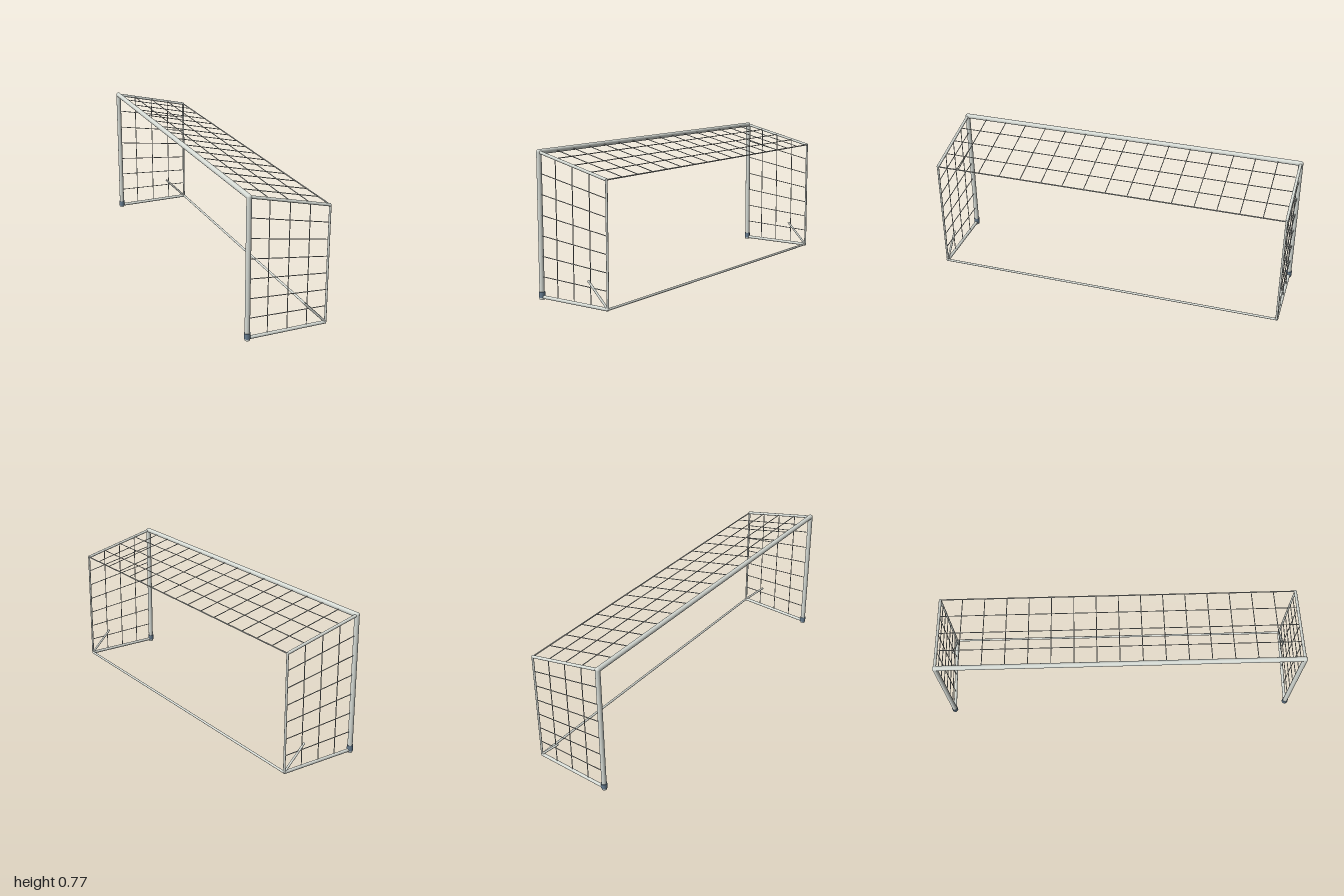
import * as THREE from 'three';

const paint = new THREE.MeshStandardMaterial({ color: 0xd6dbd5 });
paint.name = 'pale frame paint';
const cord = new THREE.MeshStandardMaterial({ color: 0xb9bdb9 });
cord.name = 'net cord grey';
const slate = new THREE.MeshStandardMaterial({ color: 0x667c90 });
slate.name = 'slate blue sleeve';

// Main dimensions
const FRONT = -0.215, REAR = 0.222, SIDE = 0.9835;
const FLOOR = 0.013, TOP_FRONT = 0.758, TOP_REAR = 0.652;
const POST_R = 0.0135, NET_R = 0.0024;
const SIDE_COLS = 4, SIDE_ROWS = 7, ROOF_BAYS = 16;

const lerp = THREE.MathUtils.lerp;
const xAt = (t) => lerp(FRONT, REAR, t);
const topAt = (t) => lerp(TOP_FRONT, TOP_REAR, t);

// Round bar between two points
function bar(parent, name, from, to, radius, material = paint, sides = 20) {
  const a = new THREE.Vector3(...from), b = new THREE.Vector3(...to);
  const dir = b.clone().sub(a);
  const mesh = new THREE.Mesh(new THREE.CylinderGeometry(radius, radius, dir.length(), sides), material);
  mesh.name = name;
  mesh.position.copy(a).add(b).multiplyScalar(0.5);
  mesh.quaternion.setFromUnitVectors(new THREE.Vector3(0, 1, 0), dir.normalize());
  parent.add(mesh);
}

// Rounded joint where bars meet
function joint(parent, name, at, radius) {
  const mesh = new THREE.Mesh(new THREE.SphereGeometry(radius, 20, 12), paint);
  mesh.name = name;
  mesh.position.set(...at);
  parent.add(mesh);
}

function sideFrame(z) {
  const g = new THREE.Group();
  bar(g, 'frontPost', [FRONT, 0, z], [FRONT, TOP_FRONT, z], POST_R);
  joint(g, 'topCorner', [FRONT, TOP_FRONT, z], POST_R);
  bar(g, 'postSleeve', [FRONT, 0.01, z], [FRONT, 0.04, z], 0.0165, slate);
  bar(g, 'rearPost', [REAR, FLOOR, z], [REAR, TOP_REAR, z], 0.006);
  bar(g, 'baseBar', [FRONT, FLOOR, z], [REAR, FLOOR, z], 0.009);
  bar(g, 'topBar', [FRONT, TOP_FRONT, z], [REAR, TOP_REAR, z], 0.008);
  joint(g, 'rearTopCorner', [REAR, TOP_REAR, z], 0.006);
  joint(g, 'rearBottomCorner', [REAR, FLOOR, z], 0.006);
  bar(g, 'cornerBrace', [REAR, FLOOR, z], [0.097, 0.141, z], 0.006);

  // Side net: upright cords, then cords fanning with the roof slope
  const net = new THREE.Group();
  net.name = 'sideNet';
  for (let i = 1; i < SIDE_COLS; i++) {
    const t = i / SIDE_COLS;
    bar(net, 'uprightCord', [xAt(t), FLOOR, z], [xAt(t), topAt(t), z], NET_R, cord, 8);
  }
  for (let j = 1; j < SIDE_ROWS; j++) {
    const s = j / SIDE_ROWS;
    bar(net, 'levelCord', [FRONT, lerp(FLOOR, TOP_FRONT, s), z],
      [REAR, lerp(FLOOR, TOP_REAR, s), z], NET_R, cord, 8);
  }
  g.add(net);
  return g;
}

export function createModel() {
  const model = new THREE.Group();
  model.name = 'goal';

  for (const s of [-1, 1]) {
    const frame = sideFrame(s * SIDE);
    frame.name = s > 0 ? 'frontSideFrame' : 'backSideFrame';
    model.add(frame);
  }

  // Long bars joining the side frames
  bar(model, 'crossbar', [FRONT, TOP_FRONT, -SIDE], [FRONT, TOP_FRONT, SIDE], POST_R);
  bar(model, 'rearGroundBar', [REAR, FLOOR, -SIDE], [REAR, FLOOR, SIDE], 0.0065);

  // Roof net
  const roof = new THREE.Group();
  roof.name = 'roofNet';
  for (let i = 1; i <= SIDE_COLS; i++) {
    const t = i / SIDE_COLS;
    bar(roof, i === SIDE_COLS ? 'rearEdgeCord' : 'longCord', [xAt(t), topAt(t), -SIDE],
      [xAt(t), topAt(t), SIDE], i === SIDE_COLS ? 0.0035 : NET_R, cord, 8);
  }
  for (let k = 1; k < ROOF_BAYS; k++) {
    const z = lerp(-SIDE, SIDE, k / ROOF_BAYS);
    bar(roof, 'crossCord', [FRONT, TOP_FRONT, z], [REAR, TOP_REAR, z], NET_R, cord, 8);
  }
  model.add(roof);
  return model;
}
